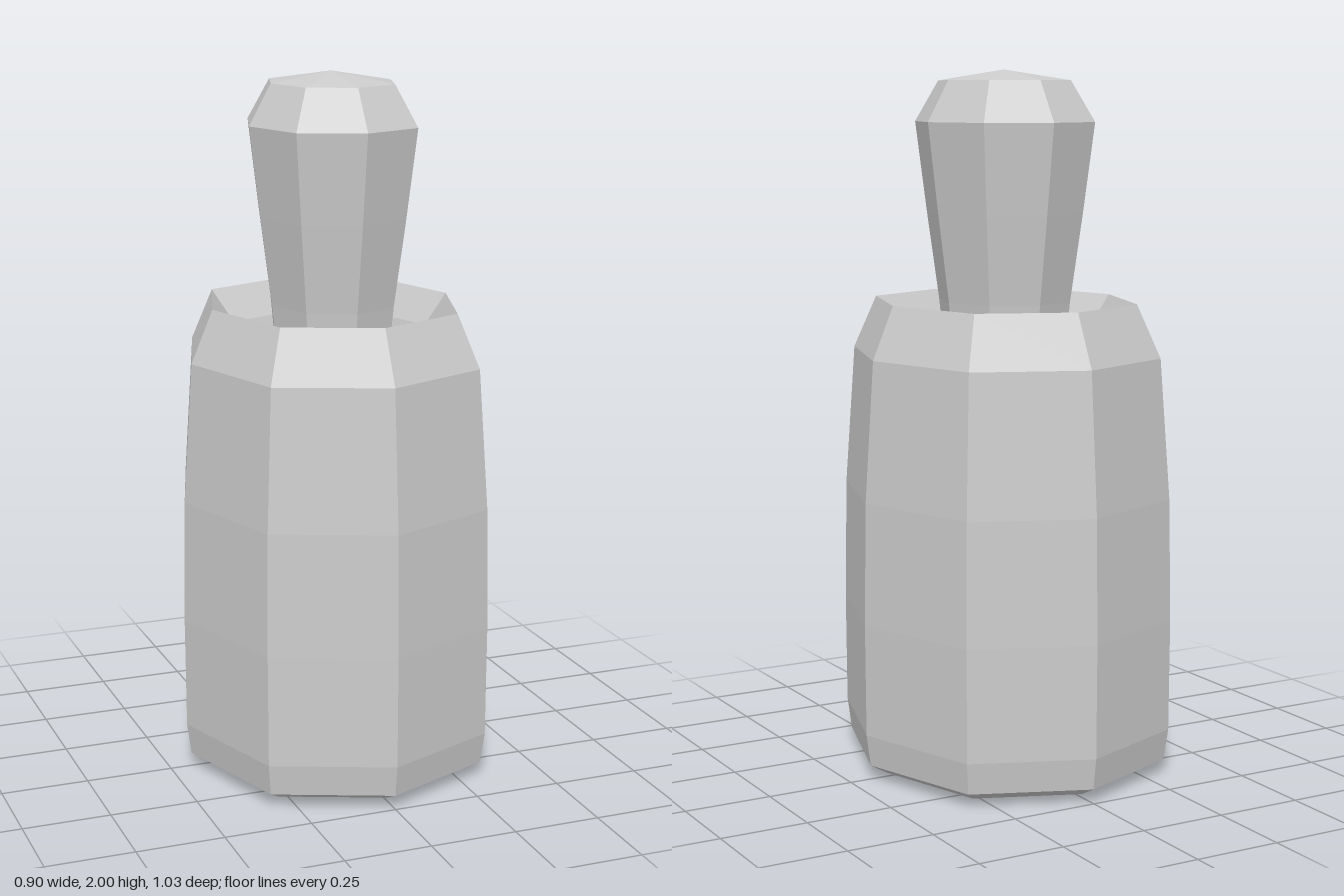
import * as THREE from 'three';

const DEPTH = 1.137; // front-to-back stretch of the oval section
const DIAGONAL = 0.733 / Math.SQRT1_2; // diagonal corners sit slightly further out

// Eight-sided oval turning with flat facets, from [radius, height] pairs
function faceted(name, profile, material) {
  const points = profile.map(([r, y]) => new THREE.Vector2(r, y));
  const lathe = new THREE.LatheGeometry(points, 8);
  const pos = lathe.attributes.position;
  for (let i = 0; i < pos.count; i++) {
    const corner = Math.floor(i / points.length);
    const k = corner % 2 ? DIAGONAL : 1;
    pos.setX(i, pos.getX(i) * k);
    pos.setZ(i, pos.getZ(i) * k * DEPTH);
  }
  const geometry = lathe.toNonIndexed();
  geometry.computeVertexNormals();
  const mesh = new THREE.Mesh(geometry, material);
  mesh.name = name;
  return mesh;
}

export function createModel() {
  const grey = new THREE.MeshStandardMaterial({ color: 0xcccccc });
  grey.name = 'light grey';

  const group = new THREE.Group();
  group.name = 'bottle';

  // Body: base, sides, shoulder, then the funnel-shaped mouth
  group.add(faceted('body', [
    [0, 0], [0.385, 0.01], [0.437, 0.04], [0.449, 0.13], [0.451, 0.45],
    [0.445, 0.8], [0.418, 1.2], [0.355, 1.35],
    [0.29, 1.26], [0.235, 1.1], [0.14, 1.06],
  ], grey));

  // Stopper: flared rod rising from the mouth, with a low domed top
  group.add(faceted('stopper', [
    [0.15, 1.05], [0.178, 1.35], [0.211, 1.6], [0.242, 1.855],
    [0.178, 1.97], [0, 2],
  ], grey));

  return group;
}
